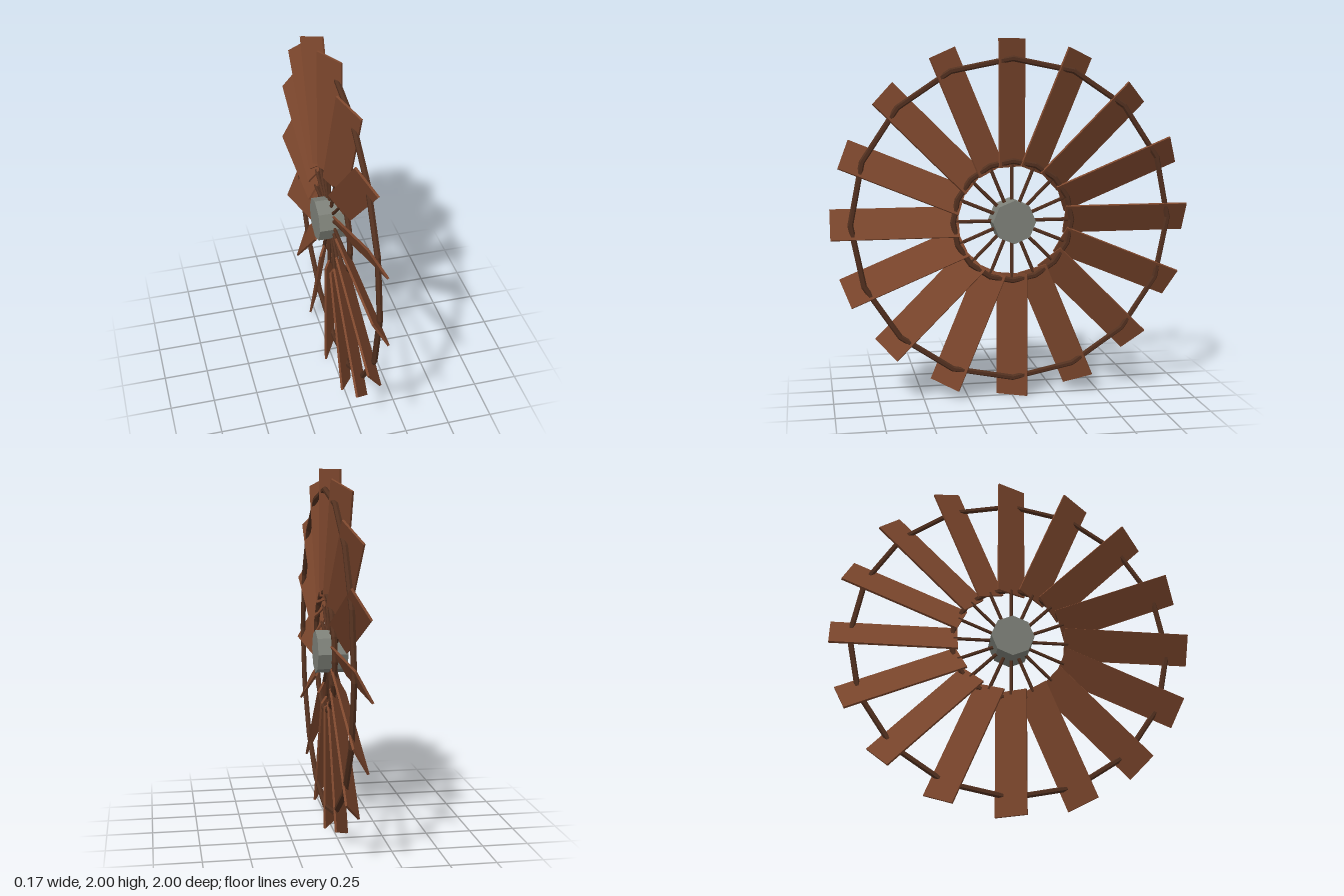
import * as THREE from 'three';

const BLADES = 16;
const PITCH = 0.5;

function material(color) {
  return new THREE.MeshStandardMaterial({ color, flatShading: true });
}

export function createModel() {
  const wood = material(0x7d472d);
  const darkWood = material(0x52301f);
  const metal = material(0x7d8078);

  const wheel = new THREE.Group();
  wheel.name = 'windWheel';
  wheel.position.y = 1;

  const add = (parent, name, geometry, mat) => {
    const mesh = new THREE.Mesh(geometry, mat);
    mesh.name = name;
    parent.add(mesh);
    return mesh;
  };

  // Octagonal hub along the x axis, corners on the y and z axes
  const hubGeometry = new THREE.CylinderGeometry(0.12, 0.12, 0.166, 8);
  hubGeometry.rotateZ(Math.PI / 2);
  add(wheel, 'hub', hubGeometry, metal);

  // Pitched blades, each carried by a thin spoke
  const bladeGeometry = new THREE.BoxGeometry(0.012, 0.7, 0.18);
  bladeGeometry.rotateY(PITCH);
  bladeGeometry.translate(0, 0.648, 0);
  const spokeGeometry = new THREE.CylinderGeometry(0.01, 0.01, 0.24, 6);
  spokeGeometry.translate(0, 0.2, 0);
  for (let i = 0; i < BLADES; i++) {
    const arm = new THREE.Group();
    arm.name = 'arm' + (i + 1);
    arm.rotation.x = (i / BLADES) * Math.PI * 2;
    add(arm, 'blade', bladeGeometry, wood);
    add(arm, 'spoke', spokeGeometry, darkWood);
    wheel.add(arm);
  }

  // Bracing rings on the +x face, with a corner at every blade
  for (const [name, radius] of [['innerRing', 0.333], ['outerRing', 0.89]]) {
    const ringGeometry = new THREE.TorusGeometry(radius, 0.016, 6, BLADES);
    ringGeometry.rotateY(Math.PI / 2);
    add(wheel, name, ringGeometry, darkWood).position.x = 0.028;
  }

  const model = new THREE.Group();
  model.name = 'windPumpWheel';
  model.add(wheel);
  return model;
}
